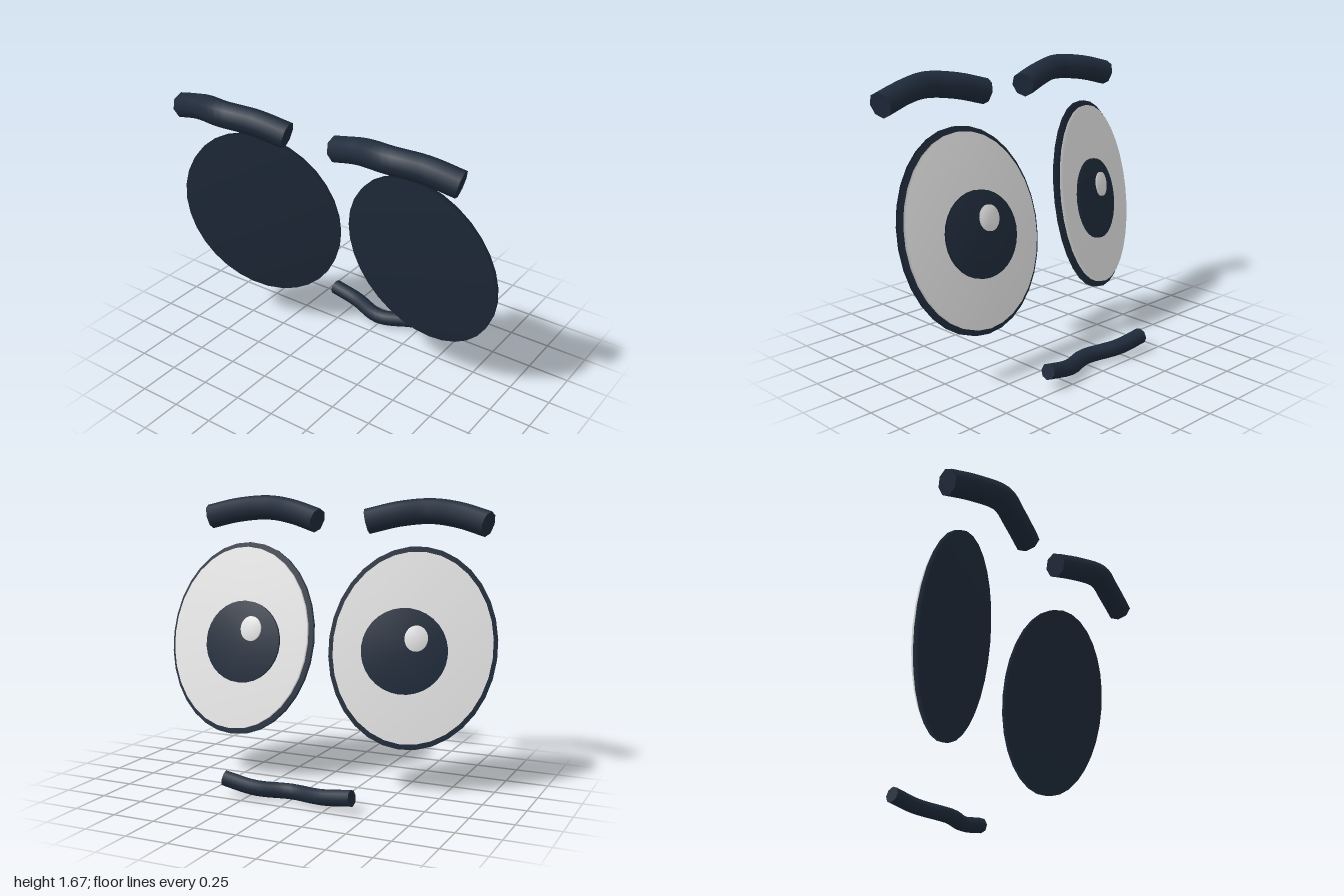
import * as THREE from 'three';
import { mergeVertices } from 'three/addons/utils/BufferGeometryUtils.js';

const navy = new THREE.MeshStandardMaterial({ color: 0x1f2b3b });
navy.name = 'dark navy';
const white = new THREE.MeshStandardMaterial({ color: 0xf2f2f2 });
white.name = 'soft white';

const RX = 0.478, RY = 0.58;   // half width and height of an eye
const WHITE_SCALE = 0.945;     // the white sits inside a narrow dark rim

function add(parent, name, geometry, material) {
  const mesh = new THREE.Mesh(geometry, material);
  mesh.name = name;
  parent.add(mesh);
}

// Flat oval disc between two depths, smooth-shaded over its edge
function ovalDisc(cx, cy, rx, ry, z0, z1) {
  let g = new THREE.CylinderGeometry(1, 1, z1 - z0, 32);
  g.rotateX(Math.PI / 2);
  g.scale(rx, ry, 1);
  g.translate(cx, cy, (z0 + z1) / 2);
  g.deleteAttribute('normal');
  g.deleteAttribute('uv');
  g = mergeVertices(g);
  g.computeVertexNormals();
  return g;
}

// Stack of thin discs: rim, white, iris and highlight
function makeEye(name, position, [tilt, yaw, roll], irisX) {
  const eye = new THREE.Group();
  eye.name = name;
  const irisY = -0.025;
  add(eye, 'rim', ovalDisc(0, 0, RX, RY, -0.03, 0), navy);
  add(eye, 'whiteOfEye',
    ovalDisc(0, 0, RX * WHITE_SCALE, RY * WHITE_SCALE, 0, 0.023), white);
  add(eye, 'iris', ovalDisc(irisX, irisY, 0.245, 0.245, 0.023, 0.046), navy);
  add(eye, 'highlight',
    ovalDisc(irisX + 0.057, irisY + 0.08, 0.066, 0.074, 0.046, 0.06), white);

  eye.rotation.order = 'YXZ';
  eye.rotation.set(-tilt, Math.PI + yaw, roll);
  eye.position.set(...position);
  return eye;
}

// Bent bar with closed ends
function makeBar(name, points, radius) {
  const bar = new THREE.Group();
  bar.name = name;
  const curve = new THREE.CatmullRomCurve3(points.map(p => new THREE.Vector3(...p)));
  const segments = 20, sides = 8;
  const tube = new THREE.TubeGeometry(curve, segments, radius, sides, false);
  add(bar, name + 'Tube', tube, navy);

  // end caps from the first and last ring of the tube
  const p = tube.attributes.position;
  for (const end of [0, segments]) {
    const ring = [];
    for (let j = 0; j < sides; j++) {
      ring.push(new THREE.Vector3().fromBufferAttribute(p, end * (sides + 1) + j));
    }
    const centre = curve.getPointAt(end / segments);
    const out = curve.getTangentAt(end / segments).multiplyScalar(end ? 1 : -1);
    const corners = [];
    for (let j = 0; j < sides; j++) {
      let a = ring[j], b = ring[(j + 1) % sides];
      const n = a.clone().sub(centre).cross(b.clone().sub(centre));
      if (n.dot(out) < 0) [a, b] = [b, a];
      corners.push(centre, a, b);
    }
    const cap = new THREE.BufferGeometry().setFromPoints(corners);
    cap.computeVertexNormals();
    add(bar, name + 'Cap', cap, navy);
  }
  return bar;
}

export function createModel() {
  const model = new THREE.Group();
  model.name = 'cartoonFace';

  model.add(makeEye('leftEye', [0.521, 0.835, 0.01], [0.23, -0.02, 0], 0.035));
  model.add(makeEye('rightEye', [-0.545, 0.835, 0.088], [0.185, 0.33, -0.12], -0.043));

  model.add(makeBar('leftBrow', [
    [0.15, 1.53, 0.3], [0.33, 1.578, 0.335], [0.52, 1.6, 0.375],
    [0.71, 1.583, 0.335], [0.89, 1.54, 0.3]], 0.075));
  model.add(makeBar('rightBrow', [
    [-0.9, 1.53, 0.325], [-0.72, 1.576, 0.365], [-0.53, 1.594, 0.408],
    [-0.35, 1.576, 0.365], [-0.165, 1.53, 0.32]], 0.075));

  model.add(makeBar('mouth', [
    [-0.4, 0.085, -0.44], [-0.22, 0.062, -0.425], [0, 0.048, -0.362],
    [0.2, 0.062, -0.425], [0.385, 0.1, -0.442]], 0.047));

  return model;
}
